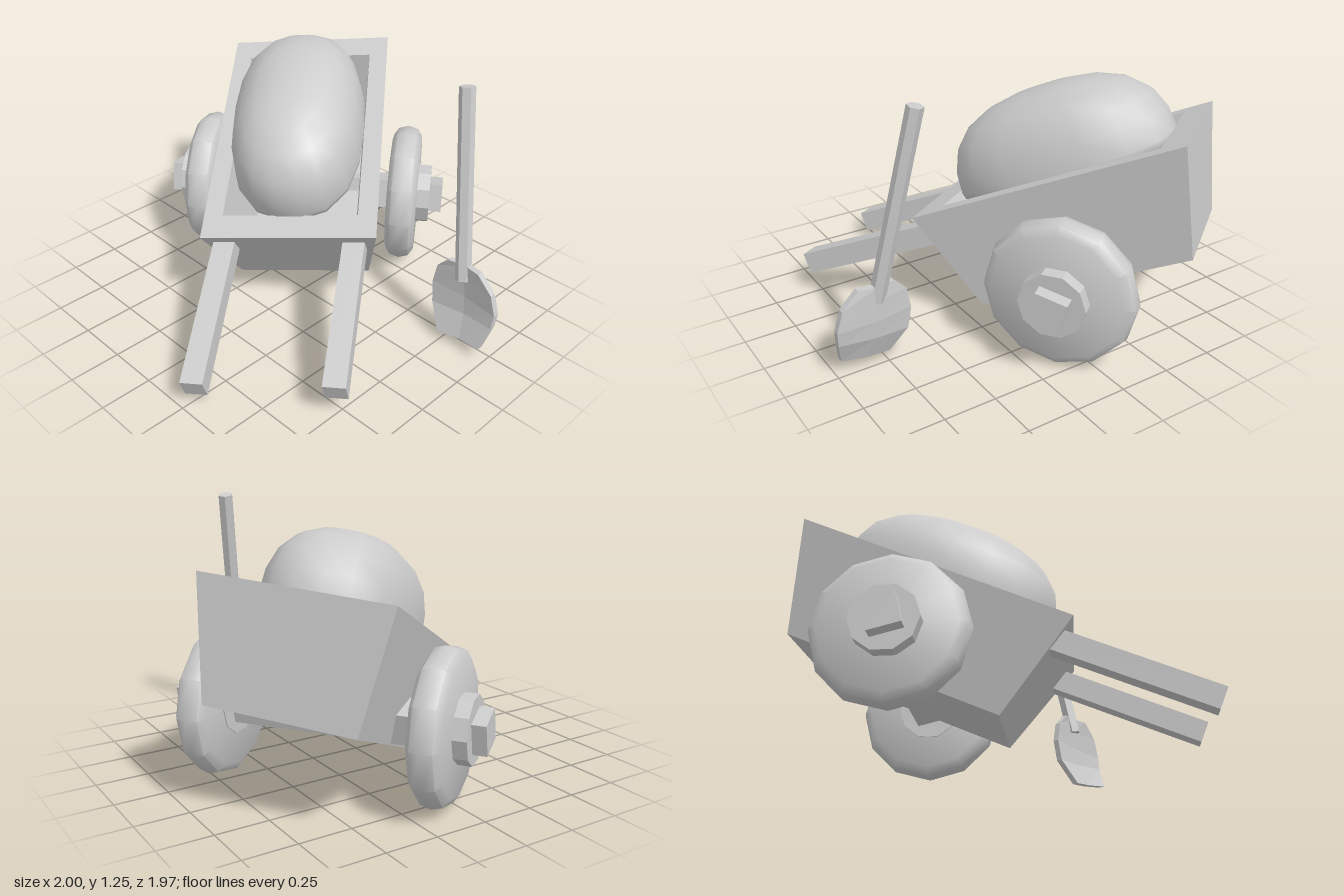
import * as THREE from 'three';
import { mergeVertices, toCreasedNormals } from 'three/addons/utils/BufferGeometryUtils.js';

const flat = new THREE.MeshStandardMaterial({ color: 0xcccccc, flatShading: true });
const smooth = new THREE.MeshStandardMaterial({ color: 0xcccccc });

function add(parent, name, geometry, material = flat) {
  const mesh = new THREE.Mesh(geometry, material);
  mesh.name = name;
  parent.add(mesh);
  return mesh;
}

// Joins equal-sized rings of points into a closed skin with capped ends.
function loft(rings) {
  const pos = [];
  const quad = (a, b, c, d) => [a, b, c, a, c, d].forEach((p) => pos.push(...p));
  const n = rings[0].length;
  for (let i = 0; i < rings.length - 1; i++) {
    for (let j = 0; j < n; j++) {
      const k = (j + 1) % n;
      quad(rings[i][j], rings[i][k], rings[i + 1][k], rings[i + 1][j]);
    }
  }
  const s = rings[0], e = rings[rings.length - 1];
  for (let j = 0; j < n / 2 - 1; j++) {
    quad(s[n - 1 - j], s[n - 2 - j], s[j + 1], s[j]);
    quad(e[j], e[j + 1], e[n - 2 - j], e[n - 1 - j]);
  }
  const g = new THREE.BufferGeometry();
  g.setAttribute('position', new THREE.Float32BufferAttribute(pos, 3));
  g.computeVertexNormals();
  return g;
}

const rect = (w, l, y) => [[-w, y, l], [w, y, l], [w, y, -l], [-w, y, -l]];

// Rounded, slightly boxy mound with a shallow underside
function moundGeometry(w, h, l) {
  const g = new THREE.SphereGeometry(1, 18, 12);
  g.deleteAttribute('uv');
  g.deleteAttribute('normal');
  const p = g.attributes.position, v = new THREE.Vector3(), e = 2.5;
  for (let i = 0; i < p.count; i++) {
    v.fromBufferAttribute(p, i);
    const r = (Math.abs(v.x) ** e + Math.abs(v.y) ** e + Math.abs(v.z) ** e) ** (-1 / e);
    v.multiplyScalar(r);
    p.setXYZ(i, v.x * w, v.y * (v.y > 0 ? h : 0.12), v.z * l);
  }
  const merged = mergeVertices(g, 1e-4);
  merged.computeVertexNormals();
  return merged;
}

function createBody() {
  const body = new THREE.Group();
  body.name = 'cartBody';
  // Tilted frame: x across, y out of the open top, z toward the handles
  const across = new THREE.Vector3(0.67, 0.08, -0.51).normalize();
  const along = new THREE.Vector3(0.77, -0.51, 0.96);
  const up = along.cross(across).normalize();
  const front = new THREE.Vector3().crossVectors(across, up);
  body.quaternion.setFromRotationMatrix(new THREE.Matrix4().makeBasis(across, up, front));
  body.position.set(-0.25, 0.755, -0.22);

  add(body, 'tray', loft([
    rect(0.336, 0.52, -0.515), rect(0.423, 0.665, 0),
    rect(0.33, 0.535, 0), rect(0.27, 0.43, -0.4),
  ]));
  add(body, 'load', moundGeometry(0.33, 0.37, 0.545), smooth);

  for (const s of [-1, 1]) {
    const g = new THREE.BoxGeometry(0.105, 0.105, 0.85);
    g.translate(0, 0, 0.425);
    const handle = add(body, s < 0 ? 'rightHandle' : 'leftHandle', g);
    handle.position.set(s * 0.315, -0.115, 0.54);
    handle.rotation.y = -0.05;
  }
  return body;
}

function createWheels() {
  const group = new THREE.Group();
  group.name = 'wheelSet';
  group.position.set(-0.33, 0.355, -0.35);
  group.rotation.y = 0.628;

  const axle = add(group, 'axle', new THREE.BoxGeometry(1.47, 0.15, 0.15));
  axle.rotation.x = -0.25;

  const profile = [[0, -0.075], [0.305, -0.075], [0.343, -0.05], [0.357, 0],
    [0.343, 0.05], [0.305, 0.075], [0, 0.075]].map(([r, y]) => new THREE.Vector2(r, y));
  const tyre = toCreasedNormals(new THREE.LatheGeometry(profile, 12), 0.8);
  const hub = new THREE.CylinderGeometry(0.155, 0.155, 0.22, 10);
  for (const s of [-1, 1]) {
    const side = s < 0 ? 'right' : 'left';
    const wheel = add(group, side + 'Wheel', tyre, smooth);
    wheel.position.x = s * 0.53;
    wheel.rotation.z = -s * Math.PI / 2;
    const cap = add(group, side + 'Hub', hub);
    cap.position.x = s * 0.56;
    cap.rotation.z = Math.PI / 2;
  }
  return group;
}

function createShovel() {
  const shovel = new THREE.Group();
  shovel.name = 'shovel';
  // Slanted six-sided shaft
  const top = new THREE.Vector3(0.637, 1.24, -0.38);
  const end = new THREE.Vector3(0.8, 0.34, -0.262);
  const dir = top.clone().sub(end);
  const shaft = add(shovel, 'shovelShaft', new THREE.CylinderGeometry(0.038, 0.038, dir.length(), 6));
  shaft.position.copy(top).add(end).multiplyScalar(0.5);
  shaft.quaternion.setFromUnitVectors(new THREE.Vector3(0, 1, 0), dir.normalize());

  // Bent blade, rows from tip to shoulder: left x, middle x, right x, y, z, slant
  const rows = [
    [0.73, 0.85, 0.97, 0.045, -0.205, 0.015],
    [0.655, 0.83, 0.995, 0.16, -0.25, 0.01],
    [0.64, 0.82, 1.0, 0.25, -0.26, -0.01],
    [0.66, 0.805, 0.97, 0.35, -0.26, -0.01],
    [0.72, 0.8, 0.89, 0.42, -0.26, 0],
  ];
  const t = 0.016, dish = 0.015;
  add(shovel, 'shovelBlade', loft(rows.map(([l, m, r, y, z, k]) => [
    [l, y - k, z + t], [m, y, z + t - dish], [r, y + k, z + t],
    [r, y + k, z - t], [m, y, z - t - dish], [l, y - k, z - t],
  ])));
  return shovel;
}

export function createModel() {
  const model = new THREE.Group();
  model.name = 'handcartWithShovel';
  model.add(createBody(), createWheels(), createShovel());
  return model;
}
